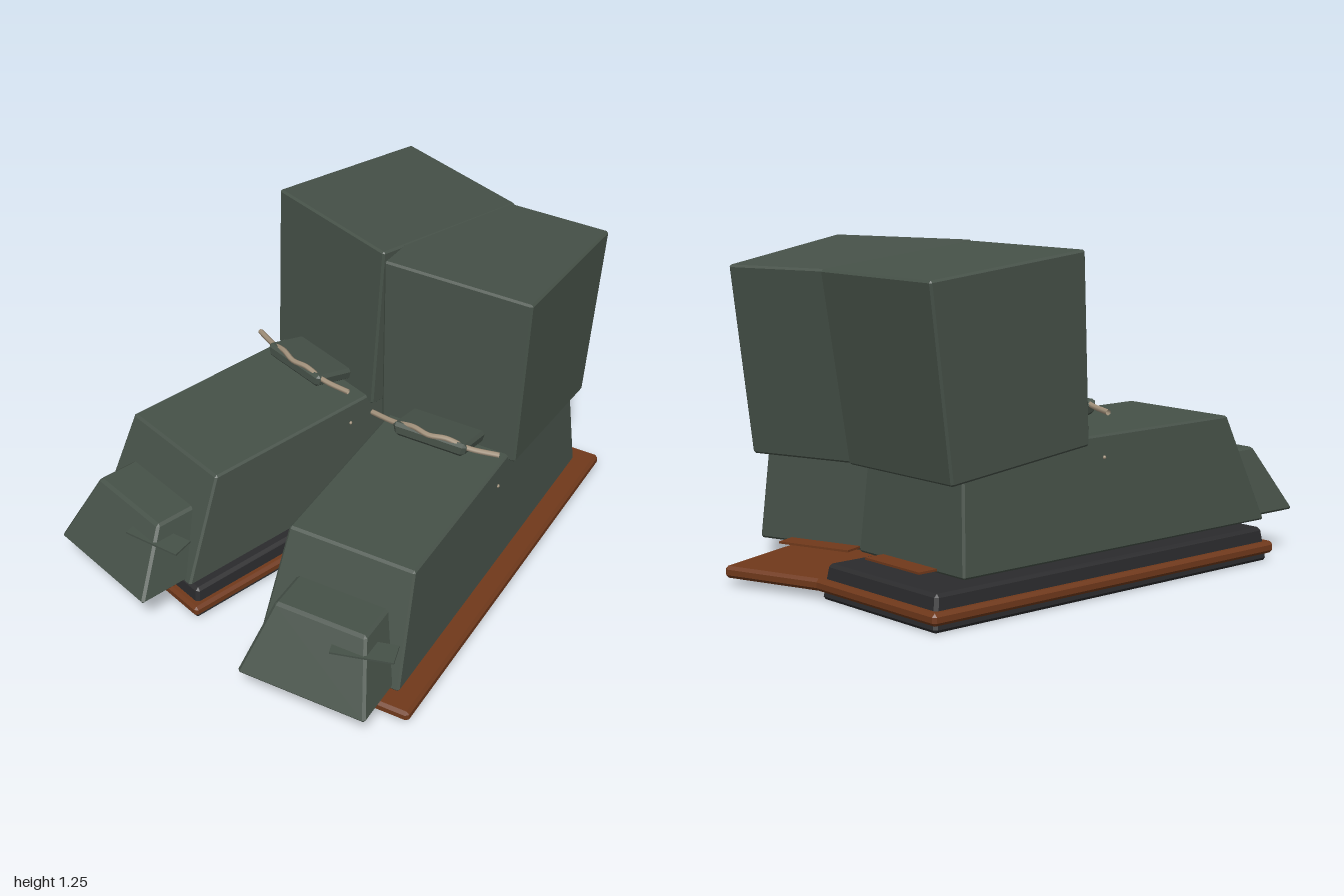
import * as THREE from 'three';
import { ConvexGeometry } from 'three/addons/geometries/ConvexGeometry.js';

const material = (name, color) => {
  const m = new THREE.MeshStandardMaterial({ color });
  m.name = name;
  return m;
};

// Chamfered six-sided block. Each level is { w: half width, front: [y, z], back: [y, z] }.
function block(bottom, top, bevel) {
  const corner = (i, j, k) => {
    const level = j ? top : bottom;
    const [y, z] = k ? level.front : level.back;
    return new THREE.Vector3(i ? level.w : -level.w, y, z);
  };
  const points = [];
  for (let n = 0; n < 8; n++) {
    const [i, j, k] = [n & 1, (n >> 1) & 1, n >> 2];
    const p = corner(i, j, k);
    const edges = [corner(1 - i, j, k), corner(i, 1 - j, k), corner(i, j, 1 - k)]
      .map((q) => q.sub(p).normalize().multiplyScalar(bevel));
    for (let e = 0; e < 3; e++) {
      points.push(p.clone().add(edges[e]).add(edges[(e + 1) % 3]));
    }
  }
  return new ConvexGeometry(points);
}

const level = (w, y, front, back) => ({ w, front: [y, front], back: [y, back] });

export function createModel() {
  const green = material('dark green leather', 0x465148);
  const brown = material('brown welt', 0x70391b);
  const black = material('black rubber', 0x2b2b2d);
  const beige = material('beige lace', 0xa3927c);
  beige.side = THREE.DoubleSide;

  function makeBoot(name, x, z, turn, hasRubberSole) {
    const boot = new THREE.Group();
    boot.name = name;
    boot.position.set(x, 0, z);
    boot.rotation.y = turn;
    const add = (part, geometry, mat) => {
      const mesh = new THREE.Mesh(geometry, mat);
      mesh.name = part;
      boot.add(mesh);
      return mesh;
    };

    // Soles
    add('welt', block(level(0.338, 0.03, 0.852, -0.852), level(0.338, 0.075, 0.852, -0.852), 0.012), brown);
    if (hasRubberSole) {
      add('rubberSole', block(level(0.32, 0, 0.835, -0.835), level(0.305, 0.13, 0.815, -0.815), 0.012), black);
    }

    // Foot, toe cap and leaning shaft
    add('foot', block(level(0.293, 0.155, 0.842, -0.685), level(0.258, 0.577, 0.66, -0.66), 0.008), green);
    add('toeCap', block(level(0.266, 0.165, 1.045, 0.6), level(0.187, 0.422, 0.89, 0.6), 0.01), green);
    add('shaft', block(
      { w: 0.287, front: [0.55, -0.092], back: [0.48, -0.73] },
      { w: 0.304, front: [1.25, -0.135], back: [1.18, -0.835] }, 0.008), green);

    // Tongue rising towards the front
    add('tongue', block(
      { w: 0.145, front: [0.635, 0.075], back: [0.56, -0.2] },
      { w: 0.158, front: [0.692, 0.07], back: [0.62, -0.2] }, 0.014), green);

    // Thin side flap on the toe cap
    const flap = add('toeFlap', new THREE.BoxGeometry(0.235, 0.008, 0.09), green);
    flap.position.set(0.18, 0.36, 0.89);
    flap.rotation.y = 0.27;

    // Heel tab
    add('heelTab', new THREE.BoxGeometry(0.3, 0.008, 0.12), brown).position.set(0, 0.167, -0.705);

    // Lace draped over the tongue
    const path = new THREE.CatmullRomCurve3([
      [-0.27, 0.657, 0.013], [-0.16, 0.667, 0.038], [-0.07, 0.69, 0.055], [0, 0.686, 0.068],
      [0.07, 0.69, 0.058], [0.16, 0.667, 0.045], [0.27, 0.657, 0.015],
    ].map((p) => new THREE.Vector3(...p)));
    add('lace', new THREE.TubeGeometry(path, 32, 0.011, 6), beige);

    // Eyelets
    for (const side of [-1, 1]) {
      add('eyelet', new THREE.SphereGeometry(0.007, 8, 6), beige).position.set(side * 0.265, 0.495, 0);
    }
    return boot;
  }

  const group = new THREE.Group();
  group.name = 'boots';
  group.add(makeBoot('rightBoot', -0.395, -0.085, -0.1, true));
  group.add(makeBoot('leftBoot', 0.285, -0.09, 0.24, false));
  return group;
}
